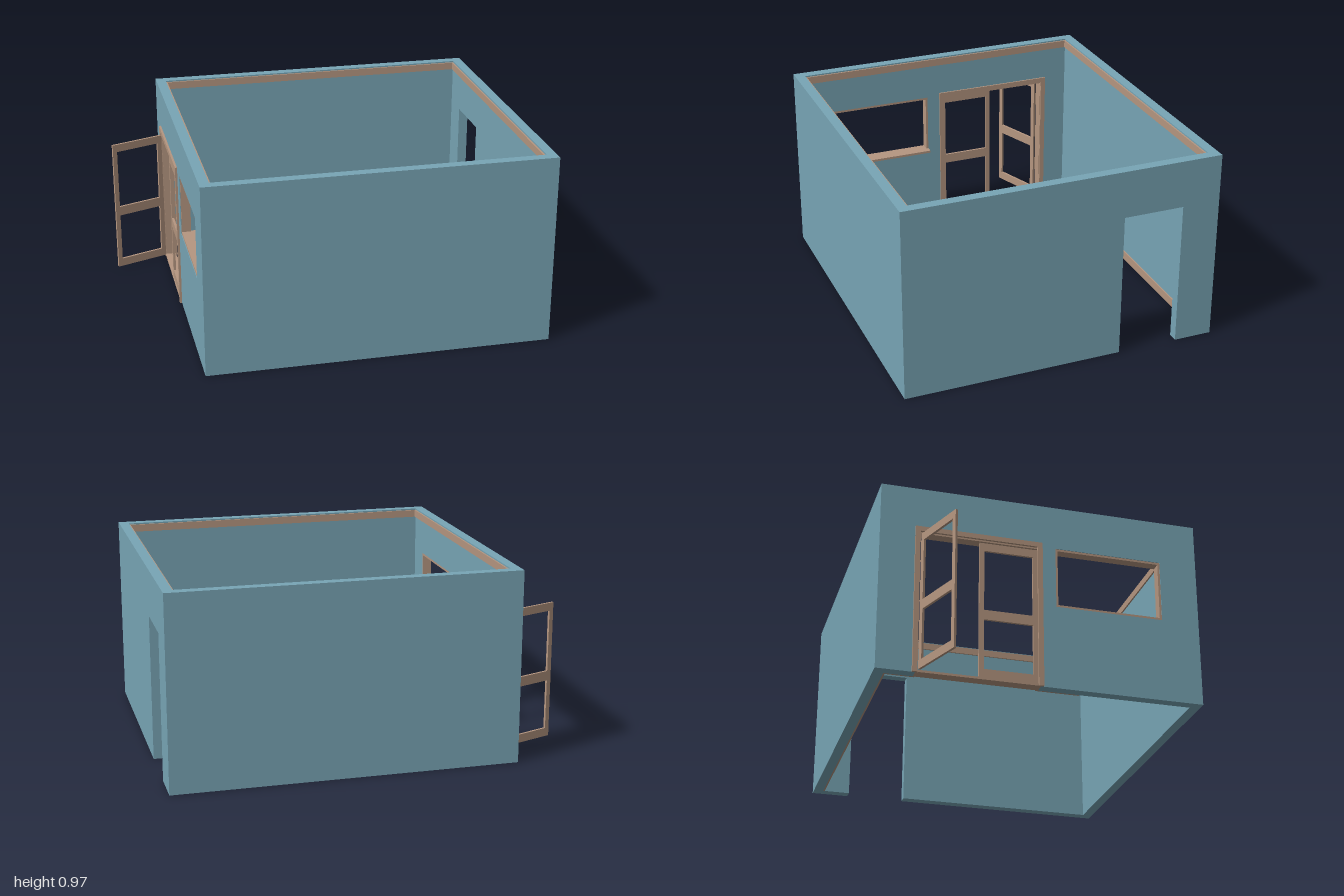
import * as THREE from 'three';

const wallMat = new THREE.MeshStandardMaterial({ color: 0x78a5b5 });
const woodMat = new THREE.MeshStandardMaterial({ color: 0xb59680 });

// Room extents
const X0 = -0.72, X1 = 1, Z = 0.797, H = 0.967, T = 0.05;
const IX0 = X0 + T, IX1 = X1 - T, IZ = Z - T;

// Box given by its minimum and maximum corners
function box(parent, name, mat, [x0, x1], [y0, y1], [z0, z1]) {
  const mesh = new THREE.Mesh(new THREE.BoxGeometry(x1 - x0, y1 - y0, z1 - z0), mat);
  mesh.position.set((x0 + x1) / 2, (y0 + y1) / 2, (z0 + z1) / 2);
  mesh.name = name;
  parent.add(mesh);
  return mesh;
}

// Side wall along z with a doorway notch and an optional window hole
function sideWall(name, x, door, win) {
  const s = new THREE.Shape();
  s.moveTo(-Z, 0);
  s.lineTo(-door.z1, 0);
  s.lineTo(-door.z1, door.top);
  s.lineTo(-door.z0, door.top);
  s.lineTo(-door.z0, 0);
  s.lineTo(Z, 0);
  s.lineTo(Z, H);
  s.lineTo(-Z, H);
  s.closePath();
  if (win) {
    const h = new THREE.Path();
    h.moveTo(-win.z1, win.y0);
    h.lineTo(-win.z1, win.y1);
    h.lineTo(-win.z0, win.y1);
    h.lineTo(-win.z0, win.y0);
    h.closePath();
    s.holes.push(h);
  }
  const geo = new THREE.ExtrudeGeometry(s, { depth: T, bevelEnabled: false });
  geo.rotateY(Math.PI / 2);
  const mesh = new THREE.Mesh(geo, wallMat);
  mesh.position.x = x;
  mesh.name = name;
  return mesh;
}

// Two uprights and a head piece around an opening, w = face width
function surround(parent, name, xr, z0, z1, y0, top, w) {
  box(parent, name + 'Upright', woodMat, xr, [y0, top - w], [z0, z0 + w]);
  box(parent, name + 'Upright', woodMat, xr, [y0, top - w], [z1 - w, z1]);
  box(parent, name + 'Head', woodMat, xr, [top - w, top], [z0, z1]);
}

// Open-paned door leaf running along +z from its hinge
function doorLeaf(name) {
  const g = new THREE.Group(), L = 0.288, sw = 0.024, t = [-0.006, 0.006];
  g.name = name;
  for (const z of [0, L - sw]) box(g, 'stile', woodMat, t, [0.012, 0.716], [z, z + sw]);
  for (const y of [[0.012, 0.055], [0.31, 0.36], [0.675, 0.716]])
    box(g, 'rail', woodMat, t, y, [sw, L - sw]);
  return g;
}

export function createModel() {
  const root = new THREE.Group();
  root.name = 'room';
  const door = { z0: -0.61, z1: -0.012, top: 0.735 };
  const win = { z0: 0.07, z1: 0.608, y0: 0.425, y1: 0.74 };

  // Walls
  root.add(sideWall('windowWall', X0, door, win));
  root.add(sideWall('doorwayWall', IX1, { z0: -0.605, z1: -0.3, top: 0.73 }));
  box(root, 'frontWall', wallMat, [IX0, IX1], [0, H], [IZ, Z]);
  box(root, 'backWall', wallMat, [IX0, IX1], [0, H], [-Z, -IZ]);

  // Trim strip around the inside, just below the wall tops
  const t = 0.008, trimY = [0.922, 0.96];
  for (const s of [-1, 1])
    box(root, 'ceilingTrim', woodMat, [IX0, IX1], trimY, s > 0 ? [IZ - t, IZ] : [-IZ, -IZ + t]);
  box(root, 'ceilingTrim', woodMat, [IX0, IX0 + t], trimY, [-IZ + t, IZ - t]);
  box(root, 'ceilingTrim', woodMat, [IX1 - t, IX1], trimY, [-IZ + t, IZ - t]);

  // Skirting boards
  const skirtY = [0, 0.042];
  box(root, 'skirting', woodMat, [IX0, IX1], skirtY, [-IZ, -IZ + t]);
  box(root, 'skirting', woodMat, [IX0, IX0 + t], skirtY, [-IZ + t, -0.625]);
  box(root, 'skirting', woodMat, [IX0, IX0 + t], skirtY, [0.002, 0.19]);

  // Double door: casing on both faces, lining, threshold and two leaves
  const doors = new THREE.Group();
  doors.name = 'doubleDoor';
  root.add(doors);
  for (const xr of [[X0 - 0.011, X0], [IX0, IX0 + 0.008]])
    surround(doors, 'casing', xr, -0.626, 0.002, 0, 0.757, 0.025);
  surround(doors, 'lining', [X0, IX0], door.z0, door.z1, 0, door.top, 0.011);
  box(doors, 'threshold', woodMat, [X0 - 0.005, IX0], [0, 0.011], [-0.599, -0.023]);
  const closed = doorLeaf('closedLeaf');
  closed.position.set(X0 + 0.004, 0, -0.311);
  const open = doorLeaf('openLeaf');
  open.position.set(-0.728, 0, -0.593);
  open.rotation.y = -1.215;
  doors.add(closed, open);

  // Window lining and inner sill
  const w = new THREE.Group();
  w.name = 'window';
  root.add(w);
  surround(w, 'windowLining', [X0 + 0.003, IX0], win.z0, win.z1, win.y0 + 0.012, win.y1, 0.011);
  box(w, 'windowSill', woodMat, [X0 + 0.003, -0.635], [win.y0, win.y0 + 0.012], [win.z0, win.z1]);

  return root;
}
